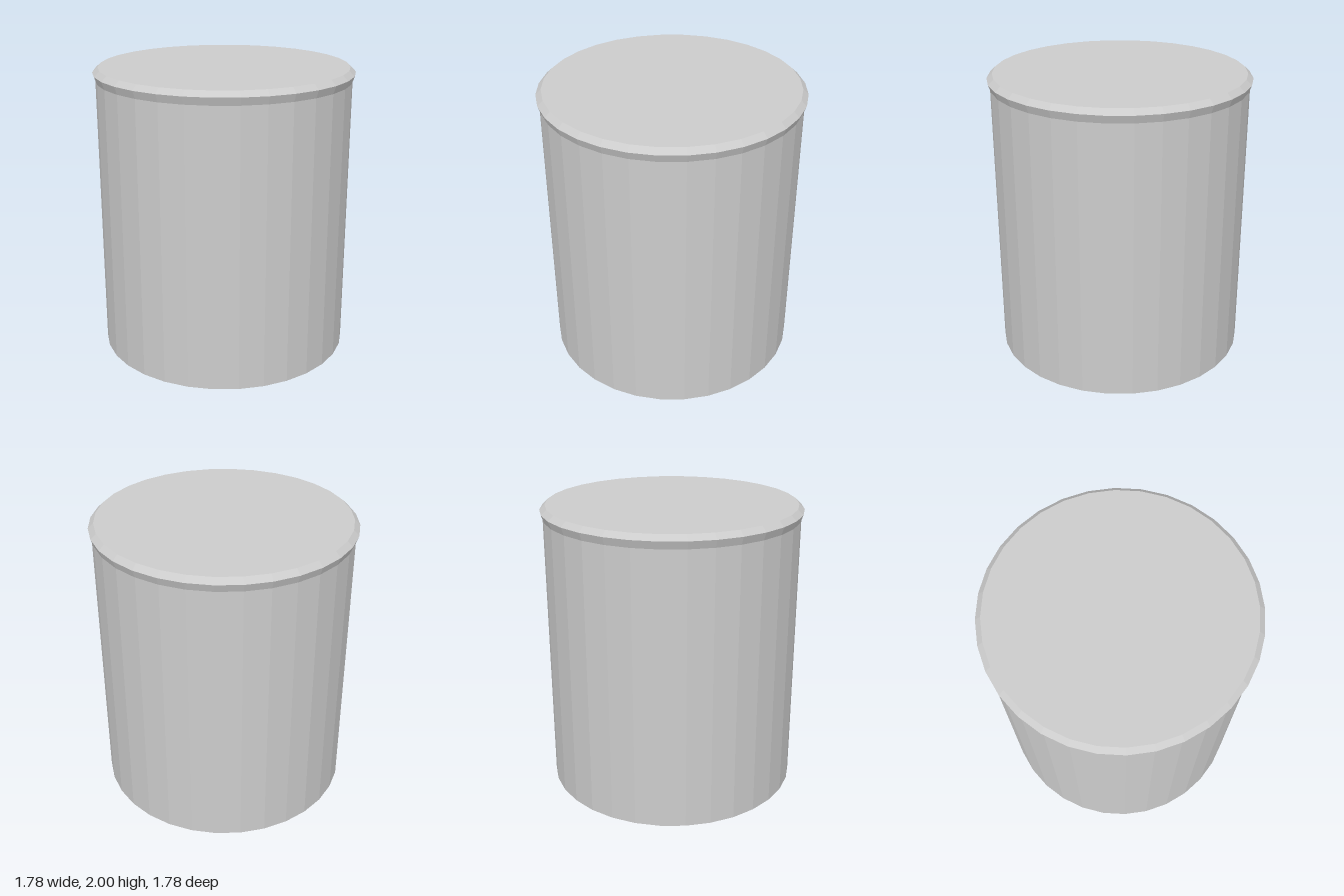
import * as THREE from 'three';

const SIDES = 32;
const material = new THREE.MeshStandardMaterial({ color: 0xcccccc, flatShading: true });

// Faceted surface of revolution from [radius, height] pairs, bottom to top
function turned(name, profile) {
  const points = profile.map(([r, y]) => new THREE.Vector2(r, y));
  const mesh = new THREE.Mesh(new THREE.LatheGeometry(points, SIDES), material);
  mesh.name = name;
  return mesh;
}

// Flat disc facing up (direction 1) or down (direction -1)
function disc(name, radius, y, direction) {
  const geometry = new THREE.CircleGeometry(radius, SIDES).rotateX(-direction * Math.PI / 2);
  const mesh = new THREE.Mesh(geometry, material);
  mesh.position.y = y;
  mesh.name = name;
  return mesh;
}

export function createModel() {
  const group = new THREE.Group();
  group.name = 'canister';

  // Straight wall closed by a flat base
  group.add(turned('wall', [[0.872, 0], [0.872, 1.912]]));
  group.add(disc('base', 0.872, 0, -1));

  // Flared rim with a bevelled upper edge, closed by a flat lid
  group.add(turned('rim', [[0.872, 1.912], [0.891, 1.965], [0.854, 2]]));
  group.add(disc('lid', 0.854, 2, 1));

  return group;
}
